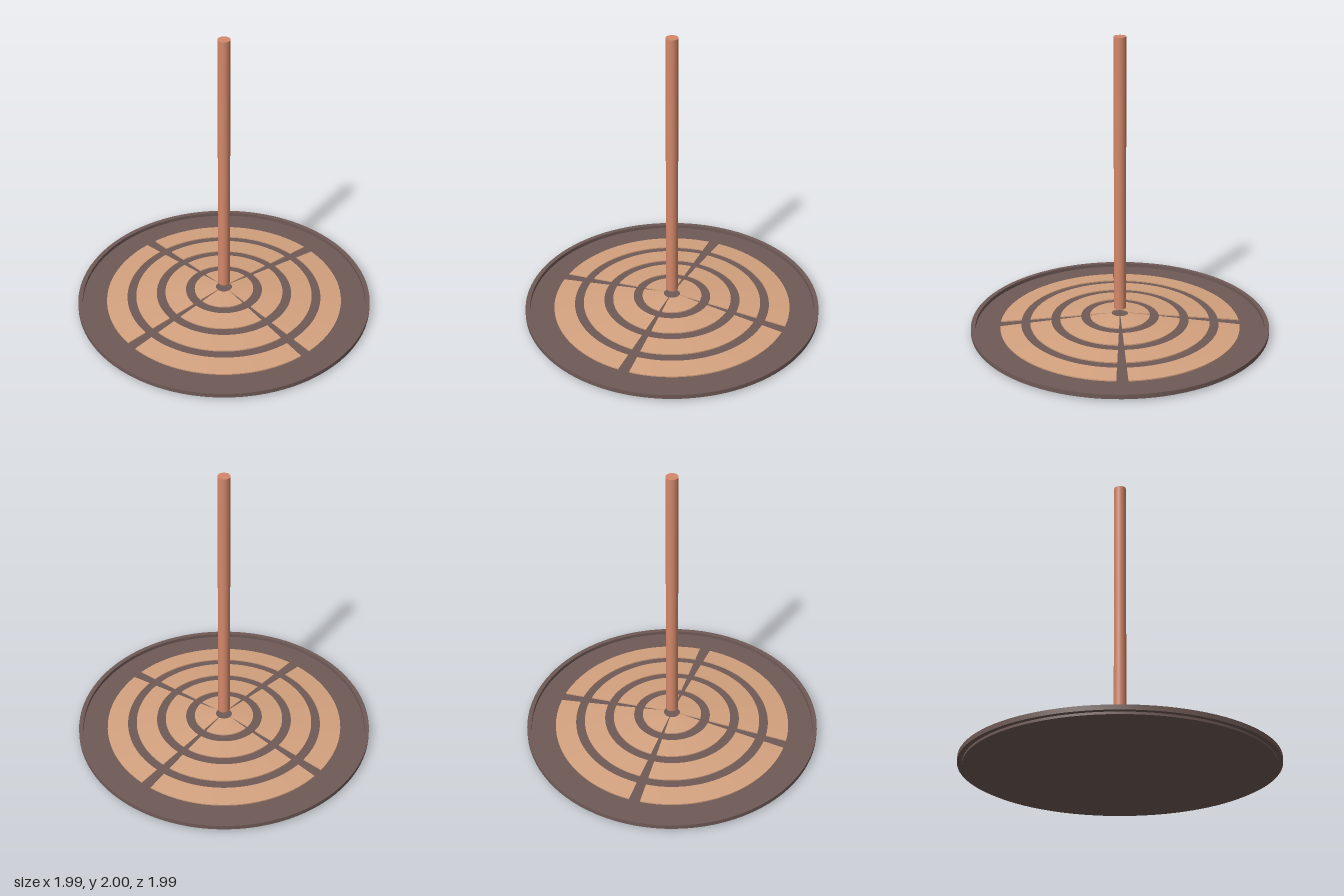
import * as THREE from 'three';
import { toCreasedNormals } from 'three/addons/utils/BufferGeometryUtils.js';

const plateMat = new THREE.MeshStandardMaterial({ color: 0x6f5a57 });
plateMat.name = 'dark brown';
const panelMat = new THREE.MeshStandardMaterial({ color: 0xd4a27f, side: THREE.DoubleSide });
panelMat.name = 'tan';
const poleMat = new THREE.MeshStandardMaterial({ color: 0xd4886a });
poleMat.name = 'copper';

const points = (list) => list.map(([x, y]) => new THREE.Vector2(x, y));

function addMesh(parent, name, geometry, material) {
  const mesh = new THREE.Mesh(geometry, material);
  mesh.name = name;
  parent.add(mesh);
  return mesh;
}

// Height of the shallow cone that all panels follow
const coneHeight = (r) => 0.115 - 0.1 * r;

// One curved panel: a thin sloping sheet swept through part of a turn, with closed ends
function makePanel(name, inner, outer, start, sweep) {
  const panel = new THREE.Group();
  panel.name = name;
  const t = 0.008;
  const profile = points([
    [outer, coneHeight(outer) - t],
    [outer, coneHeight(outer)],
    [inner, coneHeight(inner)],
    [inner, coneHeight(inner) - t],
    [outer, coneHeight(outer) - t],
  ]);
  const sheet = toCreasedNormals(new THREE.LatheGeometry(profile, 24, start, sweep), 0.6);
  addMesh(panel, 'panelSheet', sheet, panelMat);
  for (const angle of [start, start + sweep]) {
    const end = new THREE.ShapeGeometry(new THREE.Shape(profile.slice(0, 4)));
    end.rotateY(angle - Math.PI / 2);
    addMesh(panel, 'panelEnd', end, panelMat);
  }
  return panel;
}

export function createModel() {
  const model = new THREE.Group();
  model.name = 'dishWithPole';

  // Round tray with a raised, overhanging rim
  const tray = points([
    [0, 0], [0.965, 0], [0.965, 0.015], [0.995, 0.015],
    [0.995, 0.045], [0.965, 0.045], [0.965, 0.02], [0, 0.02],
  ]);
  addMesh(model, 'tray', toCreasedNormals(new THREE.LatheGeometry(tray, 96), 0.6), plateMat);

  // Four rings of four panels, parted by diagonal gaps that widen outwards
  const rings = [[0.055, 0.2], [0.26, 0.4], [0.46, 0.6], [0.66, 0.8]];
  const halfGap = 0.047;
  const panels = new THREE.Group();
  panels.name = 'panels';
  rings.forEach(([inner, outer], ring) => {
    for (let k = 0; k < 4; k++) {
      const start = Math.PI / 4 + (k * Math.PI) / 2 + halfGap;
      panels.add(makePanel(`panelRing${ring + 1}_${k + 1}`, inner, outer, start, Math.PI / 2 - 2 * halfGap));
    }
  });
  model.add(panels);

  // Upright pole hovering over the centre
  const pole = addMesh(model, 'pole', new THREE.CylinderGeometry(0.04, 0.04, 1.85, 32), poleMat);
  pole.position.y = 1.075;

  return model;
}
